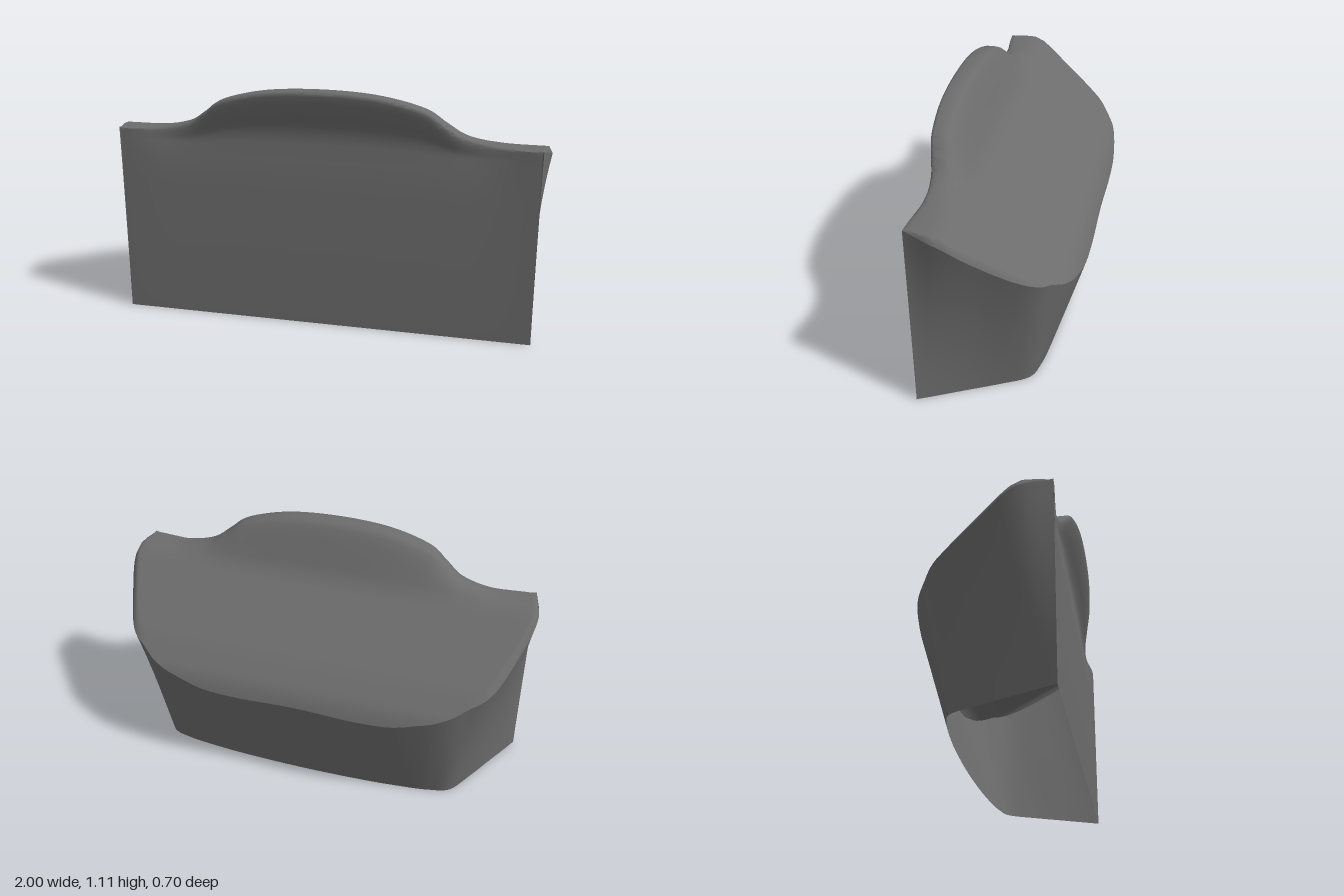
import * as THREE from 'three';
import { toCreasedNormals } from 'three/addons/utils/BufferGeometryUtils.js';

const COLUMNS = 160;
const { lerp, clamp, smoothstep } = THREE.MathUtils;

// Stations from the middle to one end:
// front x, crest height, bottom x, bottom z, ridge x, ridge z
const STATIONS = [
  [0, 1.112, 0, -0.225, 0, -0.347],
  [0.25, 1.098, 0.3, -0.218, 0.3, -0.35],
  [0.45, 1.05, 0.5, -0.203, 0.5, -0.343],
  [0.54, 0.99, 0.63, -0.185, 0.68, -0.315],
  [0.62, 0.935, 0.725, -0.15, 0.78, -0.262],
  [0.75, 0.902, 0.795, -0.03, 0.87, -0.19],
  [0.86, 0.895, 0.865, 0.11, 0.95, -0.02],
  [0.93, 0.895, 0.918, 0.215, 0.998, 0.14],
  [0.96, 0.893, 0.96, 0.3, 0.965, 0.3],
];

// Slope of the top as [z, y], from the back ridge to the front
const SLOPE = [[-0.36, 0.435], [-0.347, 0.463], [-0.335, 0.495], [-0.31, 0.535], [-0.2, 0.634], [0, 0.778], [0.1, 0.852], [0.13, 0.872], [0.16, 0.886], [0.2, 0.893], [0.31, 0.893]];

// Lip section from back foot to front edge as [z, y]: raised and flat
const LIP = [[0.13, 0.876], [0.16, 0.928], [0.19, 0.988], [0.22, 1.043], [0.245, 1.087], [0.262, 1.106], [0.285, 1.112], [0.335, 1.112], [0.345, 1.109]];
const FLAT = [[0.13, 0.872], [0.16, 0.886], [0.18, 0.892], [0.2, 0.894], [0.22, 0.895], [0.235, 0.895], [0.25, 0.895], [0.262, 0.894], [0.27, 0.889]];

// Front section from the front edge to the floor: raised and flat
const LIP_FRONT = [[0.35, 1.101], [0.349, 1.09], [0.341, 1.06], [0.326, 1.018], [0.308, 0.98], [0.29, 0.945], [0.279, 0.905], [0.281, 0.86], [0.289, 0.78], [0.3, 0.65], [0.3, 0]];
const FLAT_FRONT = [[0.273, 0.882], [0.274, 0.876], [0.275, 0.868], [0.276, 0.86], [0.277, 0.852], [0.278, 0.845], [0.28, 0.835], [0.283, 0.82], [0.29, 0.76], [0.3, 0.65], [0.3, 0]];

function slopeY(z) {
  let i = 0;
  while (i < SLOPE.length - 2 && z > SLOPE[i + 1][0]) i++;
  const [a, b] = [SLOPE[i], SLOPE[i + 1]];
  return lerp(a[1], b[1], (z - a[0]) / (b[0] - a[0]));
}

// Mirrored smooth curve through a pair of station values
function stationCurve(xi, vi) {
  const half = STATIONS.map((s) => new THREE.Vector3(s[xi], s[vi], 0));
  const mirrored = half.slice(1).reverse().map((p) => new THREE.Vector3(-p.x, p.y, 0));
  return new THREE.CatmullRomCurve3([...mirrored, ...half], false, 'catmullrom', 0.5);
}

// Surface through columns of points
function loft(columns, crease) {
  const rows = columns[0].length;
  const index = [];
  for (let i = 0; i < columns.length - 1; i++) {
    for (let j = 0; j < rows - 1; j++) {
      const a = i * rows + j;
      const b = a + rows;
      index.push(a, a + 1, b, b, a + 1, b + 1);
    }
  }
  const geometry = new THREE.BufferGeometry();
  geometry.setAttribute('position', new THREE.Float32BufferAttribute(columns.flat(2), 3));
  geometry.setIndex(index);
  return toCreasedNormals(geometry, crease);
}

export function createModel() {
  const crest = stationCurve(0, 1);
  const bottom = stationCurve(2, 3);
  const ridge = stationCurve(4, 5);
  const walls = [];
  const shells = [];

  for (let i = 0; i <= COLUMNS; i++) {
    const t = i / COLUMNS;
    const f = crest.getPoint(t);
    const b = bottom.getPoint(t);
    const r = ridge.getPoint(t);
    const ridgeZ = Math.min(r.y, 0.3);
    const raise = clamp((f.y - 0.895) / 0.217, 0, 1);
    const end = smoothstep(Math.abs(f.x), 0.66, 0.96);
    const side = smoothstep(Math.abs(r.x), 0.78, 0.95);
    const foot = Math.max(0.13, ridgeZ);
    const edgeZ = lerp(lerp(0.27, 0.345, raise), 0.3, end);
    const xAt = (z) => lerp(r.x, f.x, clamp((z - ridgeZ) / (0.27 - ridgeZ + 0.03 * end + 1e-5), 0, 1));

    // Rounding of the rim along the two sides
    const drop = 0.03 * side * clamp((0.3 - ridgeZ) / 0.12, 0, 1);
    const round = (x, z) => drop * Math.max(0, 1 - Math.hypot(x - r.x, z - ridgeZ) / 0.045) ** 2;

    // Wall, flaring outward toward the rim at the sides
    const ridgeY = slopeY(ridgeZ) - drop;
    const wall = [];
    for (let j = 0; j <= 12; j++) {
      const s = j / 12;
      wall.push([lerp(b.x, r.x, lerp(s, s * s, side)), ridgeY * s, lerp(b.y, ridgeZ, s)]);
    }
    walls.push(wall);

    // Slope up to the foot of the lip, over the lip and down the front
    const shell = [];
    for (let j = 0; j < 18; j++) {
      const z = lerp(ridgeZ, foot, (j / 18) ** 1.3);
      const x = xAt(z);
      shell.push([x, slopeY(z) - round(x, z), z]);
    }
    LIP.forEach((p, j) => {
      const span = lerp(0.27, 0.345, raise) - 0.13;
      const z = foot + ((lerp(FLAT[j][0], p[0], raise) - 0.13) / span) * (edgeZ - foot);
      const x = xAt(z);
      const y = Math.max(lerp(FLAT[j][1], p[1], raise), j < 4 ? Math.min(slopeY(z), 0.889) : 0);
      shell.push([x, y - round(x, z), z]);
    });
    LIP_FRONT.forEach((p, j) => {
      const z = lerp(lerp(FLAT_FRONT[j][0], p[0], raise), 0.3, end);
      shell.push([f.x, lerp(FLAT_FRONT[j][1], p[1], raise), z]);
    });
    shells.push(shell);
  }

  const material = new THREE.MeshStandardMaterial({ color: 0x6c6c6c, side: THREE.DoubleSide });
  const group = new THREE.Group();
  const addPart = (name, columns, crease) => {
    const mesh = new THREE.Mesh(loft(columns, crease), material);
    mesh.name = name;
    group.add(mesh);
  };
  addPart('backWall', walls, 0.7);
  addPart('topWithLipAndFront', shells, 0.95);
  return group;
}
